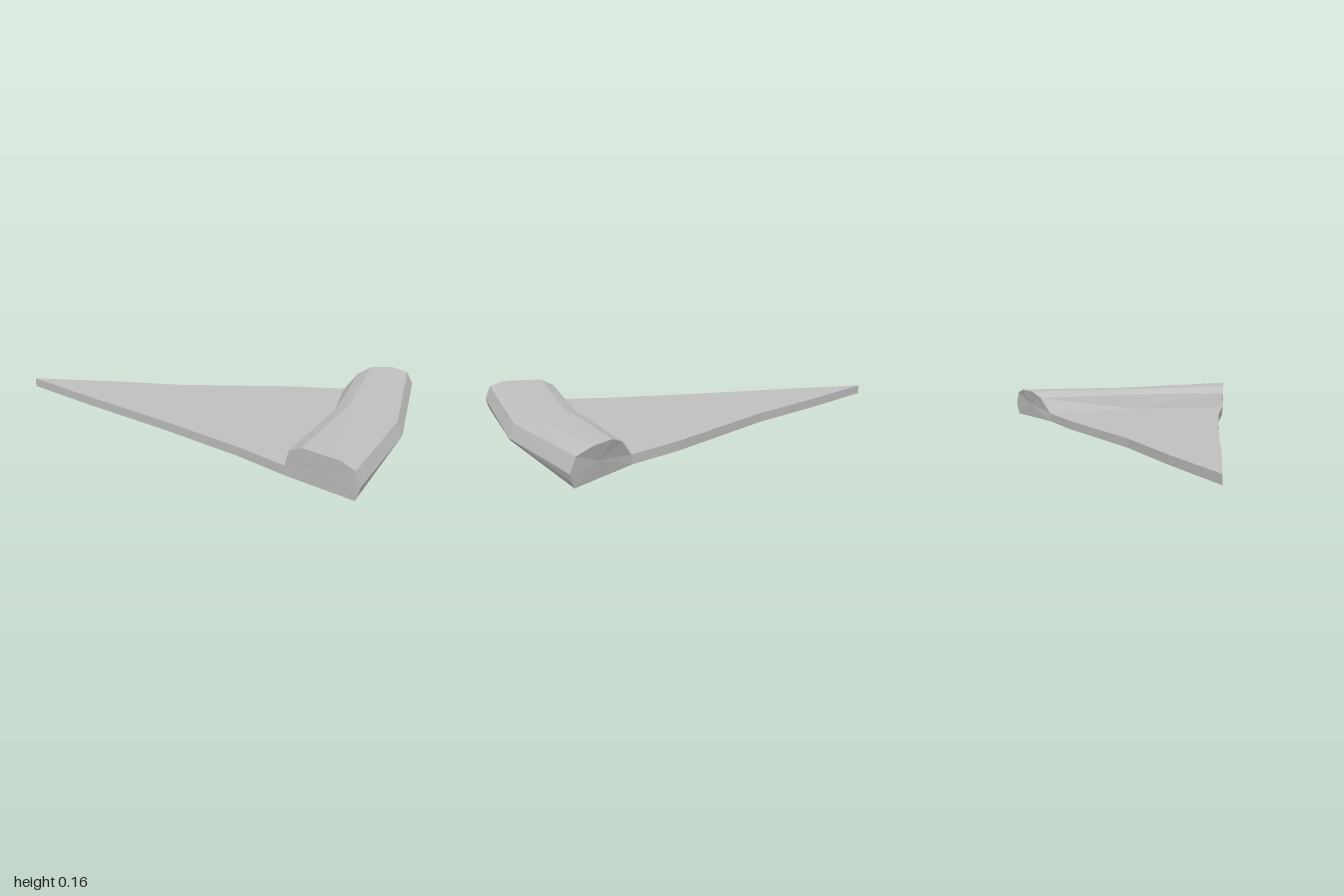
import * as THREE from 'three';

const grey = new THREE.MeshStandardMaterial({ color: 0xbfbfbf, flatShading: true });
grey.name = 'plain grey';

// Crust cross-sections [x, y, z]: from the inner bottom edge, over the top, to the outer bottom edge
const SECTIONS = [
  [[0.59, 0, 0.525], [0.59, 0.045, 0.525], [0.61, 0.125, 0.535], [0.67, 0.155, 0.555], [0.85, 0.155, 0.615],
    [0.915, 0.13, 0.635], [0.94, 0.065, 0.645], [0.932, 0.03, 0.643], [0.92, 0, 0.638]],
  [[0.655, 0, 0], [0.655, 0.045, 0], [0.682, 0.125, 0], [0.74, 0.15, 0], [0.9, 0.137, 0],
    [0.972, 0.105, 0], [1, 0.04, 0], [0.995, 0.03, 0], [0.92, 0, 0]],
  [[0.61, 0, -0.49], [0.612, 0.045, -0.49], [0.67, 0.125, -0.535], [0.73, 0.155, -0.575], [0.83, 0.155, -0.62],
    [0.91, 0.13, -0.64], [0.94, 0.065, -0.65], [0.932, 0.03, -0.645], [0.92, 0, -0.638]],
];

// Flat wedge running from the point to the inner edge of the crust
function makeWedge() {
  const outline = [[-1, 0], [-0.61, 0.125], [-0.1, 0.275], [0.35, 0.425], [0.59, 0.525],
    [0.655, 0], [0.61, -0.49], [0.35, -0.42], [-0.21, -0.215], [-0.61, -0.115]];
  const shape = new THREE.Shape(outline.map(([x, z]) => new THREE.Vector2(x, -z)));
  const geometry = new THREE.ExtrudeGeometry(shape, { depth: 0.045, bevelEnabled: false });
  return geometry.rotateX(-Math.PI / 2);
}

// Thick crust lofted through the three sections, closed by a cap at each end
function makeCrust() {
  const n = SECTIONS[0].length;
  const positions = [];
  const triangle = (a, b, c) => positions.push(...a, ...b, ...c);
  for (let s = 0; s < 2; s++) {
    const a = SECTIONS[s], b = SECTIONS[s + 1];
    for (let i = 0; i < n; i++) {
      const j = (i + 1) % n;
      // diagonals mirror about the middle section
      if (s === 0) {
        triangle(a[i], a[j], b[i]);
        triangle(a[j], b[j], b[i]);
      } else {
        triangle(a[i], a[j], b[j]);
        triangle(a[i], b[j], b[i]);
      }
    }
  }
  for (const [section, front] of [[SECTIONS[0], true], [SECTIONS[2], false]]) {
    const centre = [0, 1, 2].map((k) => section.reduce((sum, p) => sum + p[k], 0) / n);
    section.forEach((p, i) => {
      const q = section[(i + 1) % n];
      if (front) triangle(centre, q, p);
      else triangle(centre, p, q);
    });
  }
  const geometry = new THREE.BufferGeometry();
  geometry.setAttribute('position', new THREE.Float32BufferAttribute(positions, 3));
  geometry.computeVertexNormals();
  return geometry;
}

export function createModel() {
  const model = new THREE.Group();
  model.name = 'slice';
  for (const [name, geometry] of [['wedge', makeWedge()], ['crust', makeCrust()]]) {
    const mesh = new THREE.Mesh(geometry, grey);
    mesh.name = name;
    model.add(mesh);
  }
  return model;
}
